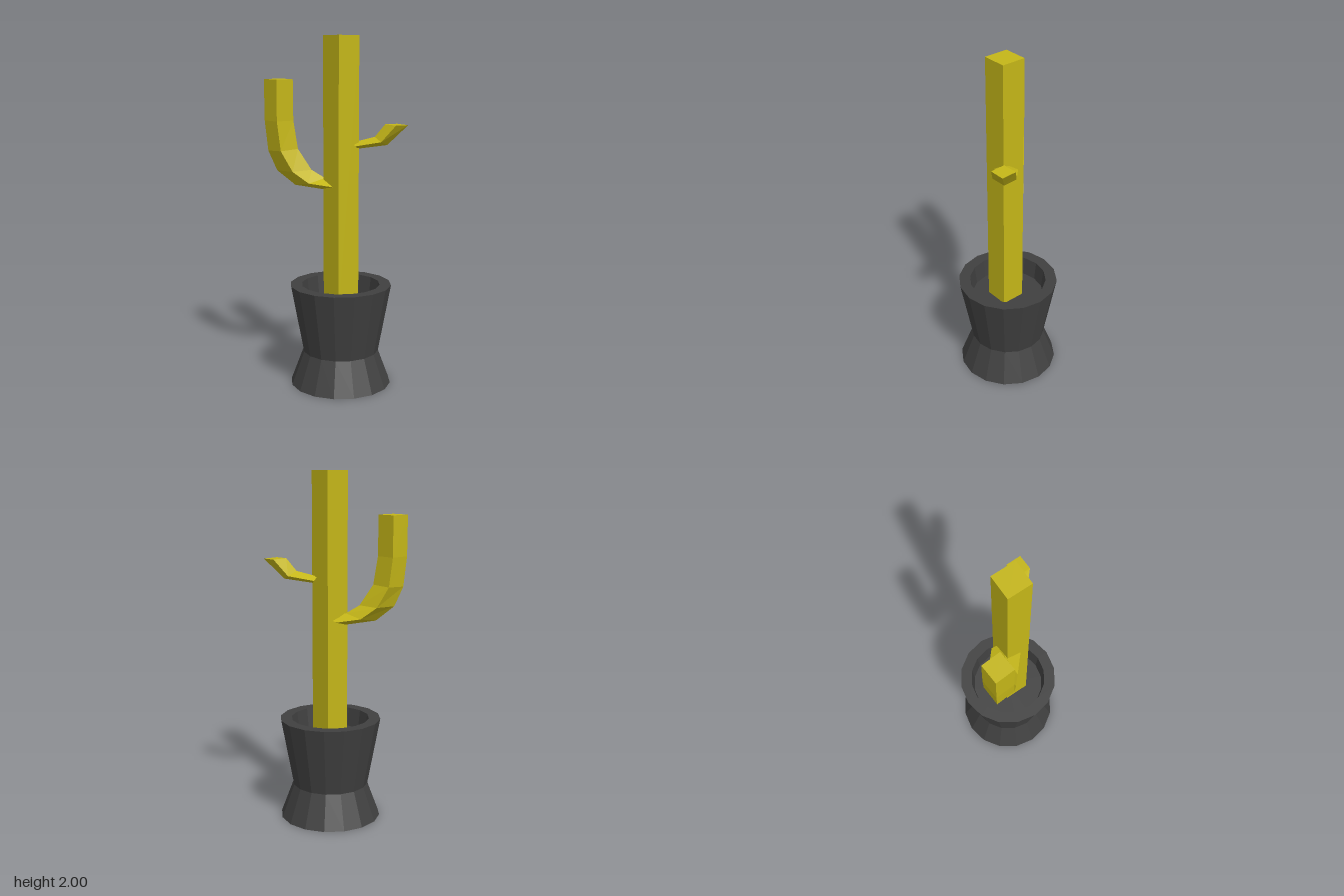
import * as THREE from 'three';

const green = new THREE.MeshStandardMaterial({ color: 0xc4b618, flatShading: true });
const dark = new THREE.MeshStandardMaterial({ color: 0x404040, flatShading: true });

// Lofted arm with a diamond section. Each ring holds [reach, height] of its
// outer, side and inner corners; the arm grows from base along angle (x towards z).
function arm(name, baseZ, angle, halfWidth, rings) {
  const dx = Math.cos(angle), dz = Math.sin(angle);
  const at = ([reach, y], side) => [dx * reach + dz * side, y, baseZ + dz * reach - dx * side];
  const loops = rings.map(([outer, mid, inner]) =>
    [at(outer, 0), at(mid, halfWidth), at(inner, 0), at(mid, -halfWidth)]);
  const pos = [];
  const quad = (a, b, c, d) => pos.push(...a, ...b, ...c, ...a, ...c, ...d);
  for (let r = 0; r < loops.length - 1; r++) {
    const lo = loops[r], hi = loops[r + 1];
    for (let i = 0; i < 4; i++) quad(lo[i], lo[(i + 1) % 4], hi[(i + 1) % 4], hi[i]);
  }
  quad(...loops[loops.length - 1]);
  quad(...loops[0].slice().reverse());
  const geo = new THREE.BufferGeometry();
  geo.setAttribute('position', new THREE.Float32BufferAttribute(pos, 3));
  geo.computeVertexNormals();
  const mesh = new THREE.Mesh(geo, green);
  mesh.name = name;
  return mesh;
}

export function createModel() {
  const group = new THREE.Group();
  group.name = 'pottedCactus';

  // Waisted pot with a thick rim and sunken soil
  const profile = [[0, 0], [0.292, 0], [0.219, 0.195], [0.292, 0.59], [0.226, 0.59], [0.212, 0.48], [0, 0.48]]
    .map(([r, y]) => new THREE.Vector2(r, y));
  const pot = new THREE.Mesh(new THREE.LatheGeometry(profile, 16), dark);
  pot.name = 'pot';
  pot.position.x = 0.02;
  pot.rotation.y = THREE.MathUtils.degToRad(7.8);
  group.add(pot);

  // Square trunk
  const trunk = new THREE.Mesh(new THREE.BoxGeometry(0.142, 1.54, 0.142), green);
  trunk.name = 'trunk';
  trunk.position.set(0.03, 1.23, 0.01);
  trunk.rotation.y = THREE.MathUtils.degToRad(-14.5);
  group.add(trunk);

  // Tall arm curving up on the right
  group.add(arm('rightArm', 0.005, Math.PI - 0.593, 0.081, [
    [[0.072, 1.14], [0.015, 1.165], [-0.03, 1.185]],
    [[0.24, 1.165], [0.155, 1.185], [0.07, 1.205]],
    [[0.343, 1.248], [0.245, 1.25], [0.147, 1.252]],
    [[0.392, 1.36], [0.31, 1.365], [0.223, 1.37]],
    [[0.41, 1.53], [0.33, 1.53], [0.248, 1.53]],
    [[0.411, 1.76], [0.33, 1.76], [0.249, 1.76]],
  ]));

  // Short bud on the left
  group.add(arm('leftArm', 0.0135, -0.55, 0.063, [
    [[0.125, 1.376], [0.11, 1.395], [0.095, 1.412]],
    [[0.285, 1.398], [0.255, 1.42], [0.215, 1.443]],
    [[0.4, 1.51], [0.336, 1.512], [0.273, 1.514]],
  ]));

  return group;
}
